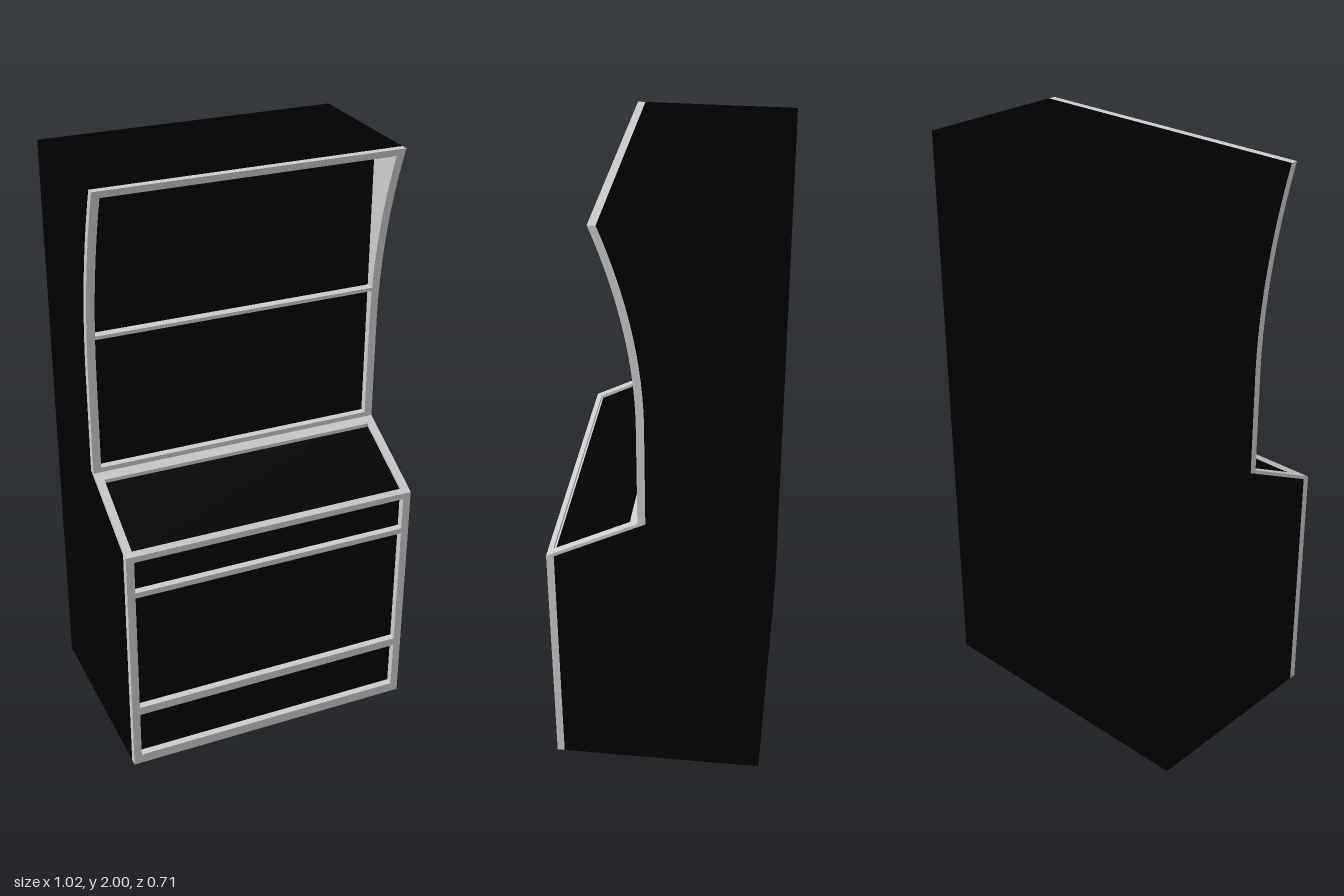
import * as THREE from 'three';

const HALF = 0.5125;   // half width of the cabinet
const INNER = 0.485;   // half width between the side trims
const BACK = -0.353;
const TRIM = 0.025;    // depth of the trim and of the panel recess

const black = new THREE.MeshStandardMaterial({ color: 0x000000 });
const grey = new THREE.MeshStandardMaterial({ color: 0xcccccc });

// Front edge of the upper half: straight, then sweeping forward to the top
const upperZ = (y) => 0.056 + 0.127 * Math.max(0, (y - 1.35) / 0.65) ** 2;

// Front profile from floor to top as [z, y], shifted back by inset
function frontProfile(inset, fromY = 0) {
  const points = [[0.353, 0], [0.353, 0.85], [0.056, 1.0]];
  for (let i = 0; i <= 16; i++) {
    const y = 1.35 + (0.65 * i) / 16;
    points.push([upperZ(y), y]);
  }
  return points.filter((p) => p[1] >= fromY).map(([z, y]) => [z - inset, y]);
}

// Extrude a [z, y] outline sideways from x0 to x1
function slab(name, outline, x0, x1, material) {
  const shape = new THREE.Shape(outline.map(([z, y]) => new THREE.Vector2(z, y)));
  const geometry = new THREE.ExtrudeGeometry(shape, { depth: x1 - x0, bevelEnabled: false });
  geometry.rotateY(-Math.PI / 2);
  geometry.translate(x1, 0, 0);
  const mesh = new THREE.Mesh(geometry, material);
  mesh.name = name;
  return mesh;
}

export function createModel() {
  const model = new THREE.Group();
  model.name = 'cabinet';
  const add = (...args) => model.add(slab(...args));
  const panelZ = 0.056 - TRIM;

  // Core whose front faces are the recessed panels
  add('panelCore', [
    [BACK, 0], [0.353 - TRIM, 0], [0.353 - TRIM, 0.85], [panelZ, 1.0], [panelZ, 1.98], [BACK, 1.98],
  ], -INNER - 0.0025, INNER + 0.0025, black);

  // Roof and the ceiling of the overhang
  add('roof', [
    [BACK, 1.98], [upperZ(1.98) - TRIM, 1.98], [upperZ(2) - TRIM, 2], [BACK, 2],
  ], -INNER - 0.0025, INNER + 0.0025, black);
  add('ceiling', [
    [panelZ, 1.976], [0.155, 1.976], [0.155, 1.98], [panelZ, 1.98],
  ], -INNER, INNER, grey);

  // Side plates, their front trim, and the inner lining beside the upper panel
  const inset = frontProfile(TRIM);
  const plate = [[BACK, 0], ...inset, [BACK, 2]];
  const edge = [...frontProfile(0), ...inset.slice().reverse()];
  const lining = [[panelZ, 1.98], ...frontProfile(TRIM, 1.35).filter((p) => p[1] < 1.98), [0.154, 1.98]];
  for (const [side, s] of [['left', 1], ['right', -1]]) {
    const span = (a, b) => (s > 0 ? [a, b] : [-b, -a]);
    add(side + 'SidePlate', plate, ...span(INNER + 0.0025, HALF), black);
    add(side + 'FrontTrim', edge, ...span(INNER, HALF), grey);
    add(side + 'UpperLining', lining, ...span(INNER, INNER + 0.0025), grey);
  }

  // Straight crossbars over the panels: name, bottom, top, front, back
  const bars = [
    ['bottomBar', 0, 0.035, 0.353, 0.328],
    ['kickBar', 0.21, 0.24, 0.353, 0.328],
    ['drawerBar', 0.69, 0.71, 0.353, 0.328],
    ['upperPanelBar', 1.478, 1.49, 0.0615, panelZ],
  ];
  for (const [name, y0, y1, front, back] of bars) {
    add(name, [[back, y0], [front, y0], [front, y1], [back, y1]], -INNER, INNER, grey);
  }

  // Top bar following the curve
  add('topBar', [
    [upperZ(1.976) - TRIM, 1.976], [upperZ(1.976), 1.976], [upperZ(2), 2], [upperZ(2) - TRIM, 2],
  ], -INNER, INNER, grey);

  // Bars along the two edges of the sloped desk
  add('deskFrontBar', [
    [0.328, 0.828], [0.353, 0.828], [0.353, 0.85], [0.334, 0.8596], [0.334, 0.846], [0.328, 0.849],
  ], -INNER, INNER, grey);
  add('deskBackBar', [
    [panelZ, 1.0], [0.084, 0.973], [0.084, 0.9859], [0.056, 1.0], [0.056, 1.017], [panelZ, 1.017],
  ], -INNER, INNER, grey);

  return model;
}
